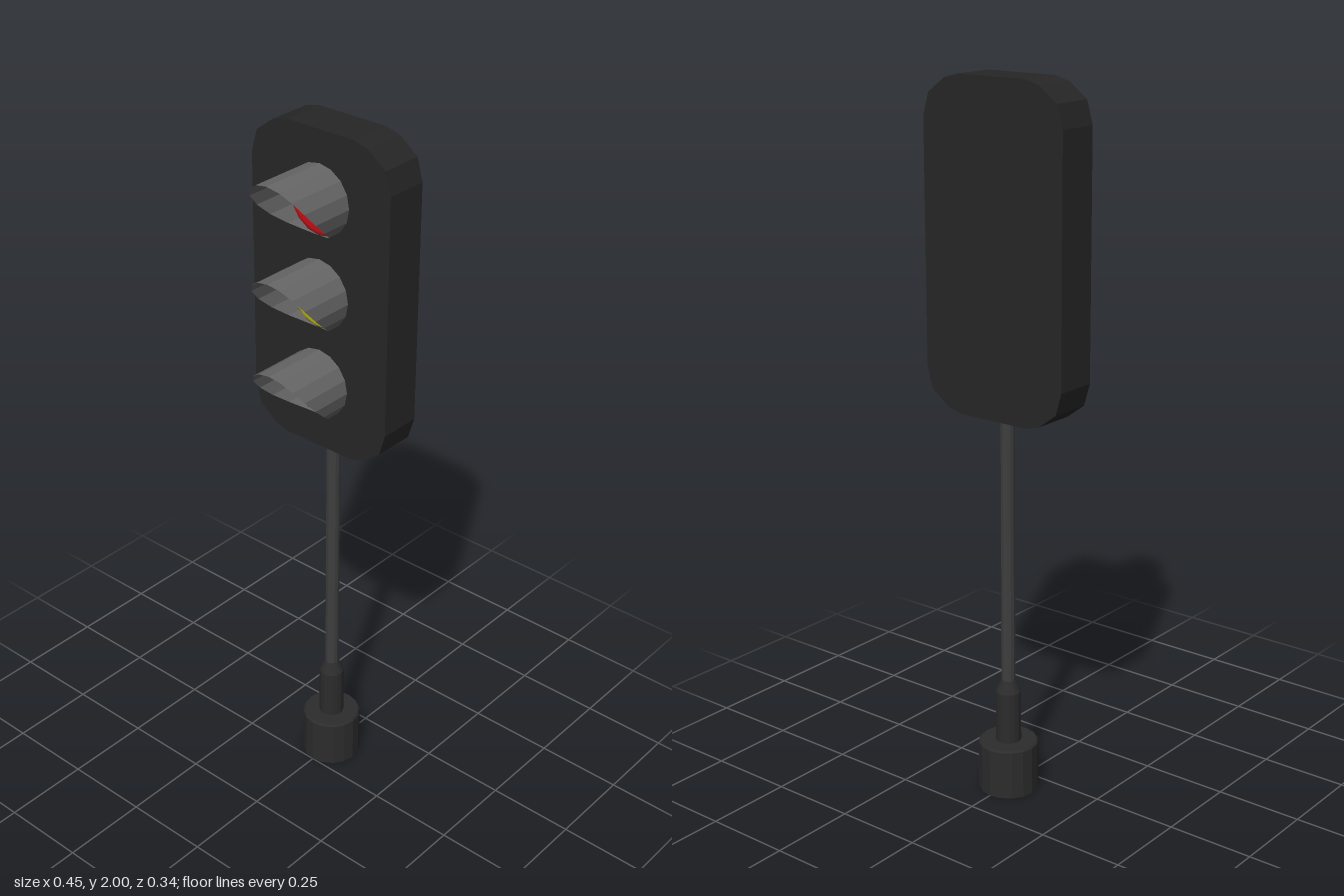
import * as THREE from 'three';

const material = (color, options = {}) =>
  new THREE.MeshStandardMaterial({ color, flatShading: true, ...options });

const AXIS_Z = -0.086; // depth of the pole and of the housing's middle
const FRONT_Z = -0.025; // front face of the housing
const LAMP_R = 0.097;

// Turned part around the pole's axis
function turned(name, profile, sides, mat) {
  const points = profile.map(([r, y]) => new THREE.Vector2(r, y));
  const mesh = new THREE.Mesh(new THREE.LatheGeometry(points, sides), mat);
  mesh.name = name;
  mesh.position.z = AXIS_Z;
  return mesh;
}

// Rounded signal box with faceted corners
function createHousing() {
  const corner = [[0.227, 0.335], [0.209, 0.397], [0.154, 0.438], [0.108, 0.45]];
  const flipped = [...corner].reverse();
  const outline = [
    ...corner,
    ...flipped.map(([x, y]) => [-x, y]),
    ...corner.map(([x, y]) => [-x, -y]),
    ...flipped.map(([x, y]) => [x, -y]),
  ].map(([x, y]) => new THREE.Vector2(x, y));
  const geometry = new THREE.ExtrudeGeometry(new THREE.Shape(outline), {
    depth: 0.123, bevelEnabled: false,
  });
  const mesh = new THREE.Mesh(geometry, material(0x262626));
  mesh.name = 'housing';
  mesh.position.set(0, 1.55, FRONT_Z - 0.123);
  return mesh;
}

// Open tube whose front rim sweeps back along a curve towards the bottom
function createVisorGeometry() {
  const geometry = new THREE.CylinderGeometry(LAMP_R, LAMP_R, 1, 16, 1, true);
  geometry.rotateX(Math.PI / 2);
  const p = geometry.attributes.position;
  for (let i = 0; i < p.count; i++) {
    const t = 1 - p.getY(i) / LAMP_R;
    const reach = 0.195 - 0.0425 * t - 0.0275 * t * t;
    p.setZ(i, p.getZ(i) > 0 ? Math.max(reach, 0) : 0);
  }
  geometry.computeVertexNormals();
  return geometry;
}

// Shallow domed lens facing +z
function createLensGeometry() {
  const geometry = new THREE.SphereGeometry(0.095, 32, 6, 0, Math.PI * 2, 0, Math.PI / 2);
  geometry.rotateX(Math.PI / 2);
  geometry.scale(1, 1, 0.15);
  return geometry;
}

export function createModel() {
  const model = new THREE.Group();
  model.name = 'trafficLight';

  // Base with its tapered collar, and the pole
  model.add(turned('base', [
    [0, 0], [0.085, 0], [0.085, 0.14], [0.08, 0.146], [0, 0.146],
  ], 16, material(0x2c2c2c)));
  model.add(turned('collar', [
    [0.036, 0.14], [0.036, 0.295], [0.02, 0.33],
  ], 16, material(0x2c2c2c)));
  model.add(turned('pole', [[0.02, 0.32], [0.02, 1.12]], 12, material(0x3e3e3e)));

  model.add(createHousing());

  // Three lamps, each a lens under a visor
  const visorGeometry = createVisorGeometry();
  const lensGeometry = createLensGeometry();
  const visorMaterial = material(0x666666, { side: THREE.DoubleSide });
  const lamps = [['red', 1.815, 0xdd1118], ['yellow', 1.555, 0xd8ce10], ['green', 1.295, 0x10d818]];
  for (const [name, y, color] of lamps) {
    const lamp = new THREE.Group();
    lamp.name = `${name}Lamp`;
    lamp.position.set(0, y, FRONT_Z);
    const visor = new THREE.Mesh(visorGeometry, visorMaterial);
    visor.name = 'visor';
    const lens = new THREE.Mesh(lensGeometry, material(color, { flatShading: false }));
    lens.name = 'lens';
    lamp.add(visor, lens);
    model.add(lamp);
  }
  return model;
}
